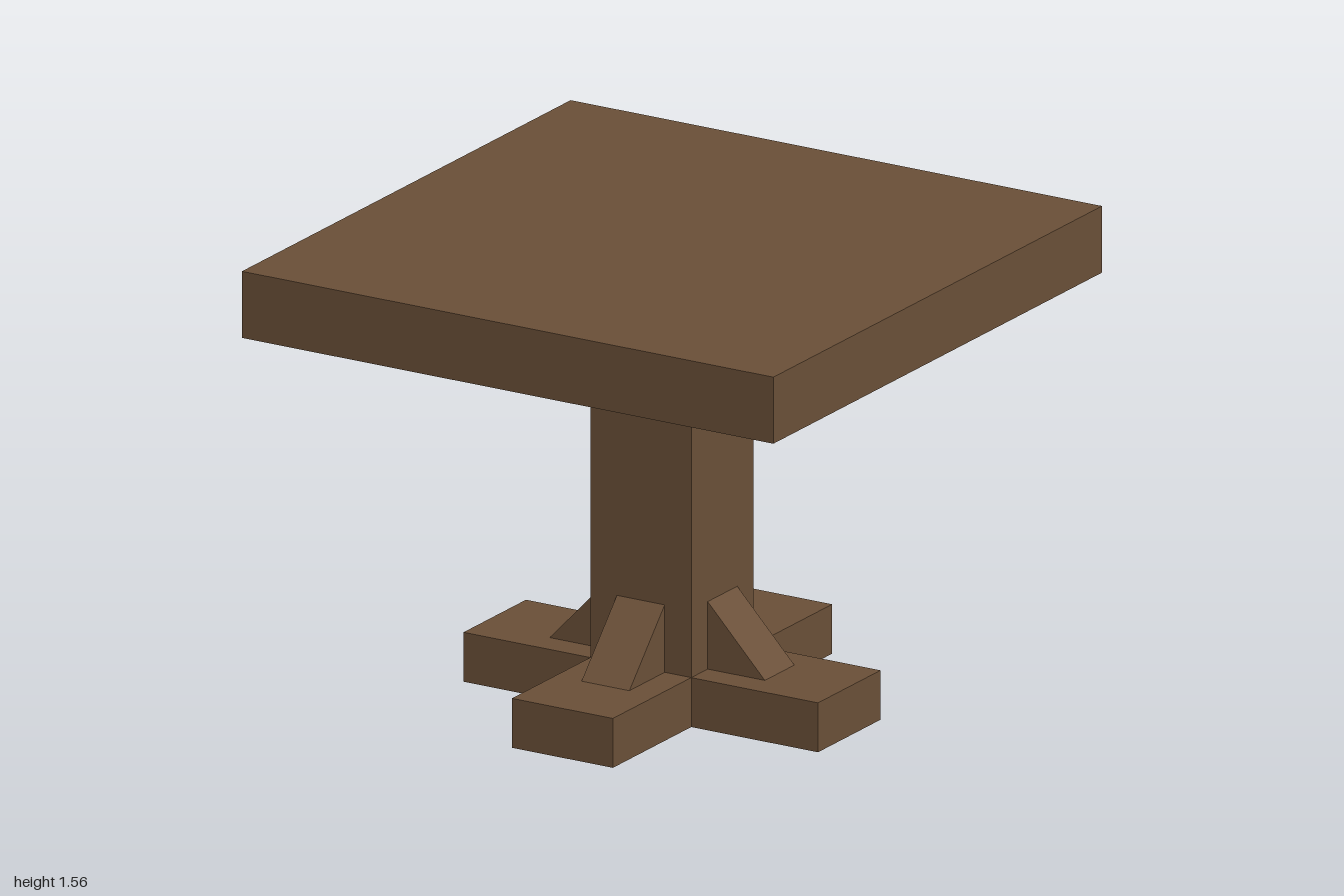
import * as THREE from 'three';

export function createModel() {
  const model = new THREE.Group();
  model.name = 'pedestalTable';
  const wood = new THREE.MeshStandardMaterial({ color: 0x6b5038, flatShading: true });
  wood.name = 'brown wood';

  const add = (name, geometry, y = 0) => {
    const mesh = new THREE.Mesh(geometry, wood);
    mesh.name = name;
    mesh.position.y = y;
    model.add(mesh);
    return mesh;
  };
  const extrude = (points, depth) => new THREE.ExtrudeGeometry(
    new THREE.Shape(points.map(([x, y]) => new THREE.Vector2(x, y))),
    { depth, bevelEnabled: false });

  const half = 0.19, reach = 0.667, footTop = 0.167, postTop = 1.337, tableTop = 1.562;

  // Square slab and post
  add('tabletop', new THREE.BoxGeometry(2, tableTop - postTop, 2), (tableTop + postTop) / 2);
  add('post', new THREE.BoxGeometry(half * 2, postTop - footTop, half * 2), (postTop + footTop) / 2);

  // Cross-shaped foot, one arm outlined per quarter turn
  const outline = [];
  for (let i = 0; i < 4; i++) {
    const c = [1, 0, -1, 0][i], s = [0, 1, 0, -1][i];
    for (const [x, y] of [[reach, -half], [reach, half], [half, half]]) {
      outline.push([x * c - y * s, x * s + y * c]);
    }
  }
  add('crossFoot', extrude(outline, footTop).rotateX(-Math.PI / 2));

  // Wedge braces between the post and each arm
  const braceWidth = 0.18;
  const wedge = extrude([[half, footTop], [0.405, footTop], [half, 0.395]], braceWidth)
    .translate(0, 0, -braceWidth / 2);
  ['leftBrace', 'backBrace', 'rightBrace', 'frontBrace'].forEach((name, i) => {
    add(name, wedge).rotation.y = i * Math.PI / 2;
  });

  return model;
}
